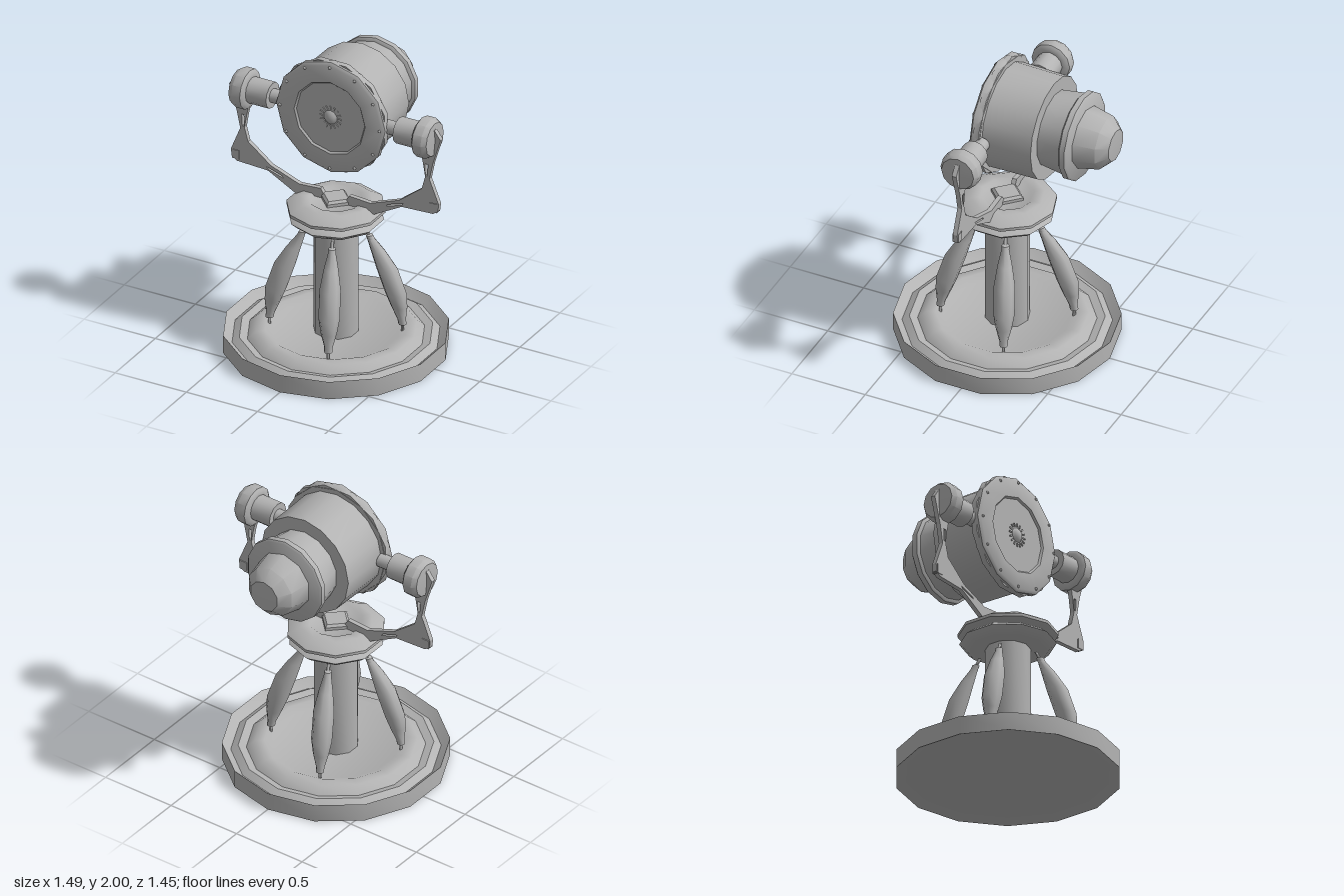
import * as THREE from 'three';
import { toCreasedNormals } from 'three/addons/utils/BufferGeometryUtils.js';

export function createModel() {
  const model = new THREE.Group();
  model.name = 'searchlight';
  const grey = new THREE.MeshStandardMaterial({ color: 0xb3b3b3 });
  grey.name = 'grey metal';

  // The vertical axis of the stand sits slightly forward
  const body = new THREE.Group();
  body.name = 'searchlightBody';
  body.position.z = 0.02;
  model.add(body);

  const add = (parent, name, geo) => {
    const mesh = new THREE.Mesh(geo, grey);
    mesh.name = name;
    parent.add(mesh);
    return mesh;
  };
  // Profile is [radius, height], from bottom to top
  const turned = (profile, sides, crease = 0.72) => toCreasedNormals(
    new THREE.LatheGeometry(profile.map(([r, y]) => new THREE.Vector2(r, y)), sides), crease);

  // Base dish with a raised ring
  add(body, 'base', turned([[0, 0.035], [0.62, 0.035], [0.7, 0], [0.7, 0.12], [0.645, 0.07],
    [0.6, 0.1], [0.55, 0.085], [0.5, 0.13], [0.44, 0.135], [0.39, 0.11], [0, 0.11]], 14));

  // Column and turntable
  add(body, 'column', turned([[0.14, 0.1], [0.14, 0.9]], 10));
  add(body, 'lowerCollar', turned([[0, 0.865], [0.22, 0.865], [0.26, 0.87], [0.3, 0.905],
    [0.25, 0.94], [0, 0.94]], 10));
  add(body, 'turntable', turned([[0, 0.935], [0.25, 0.935], [0.31, 0.955], [0.31, 0.975],
    [0.23, 1.02], [0.17, 1.02], [0.15, 1.005], [0, 1.005]], 10));
  add(body, 'turntableCap', turned([[0.11, 1.0], [0.11, 1.025], [0.09, 1.04], [0, 1.04]], 4));

  // Four bulging struts: [radius, height, distance from the axis]
  const strut = [[0, 0.11, 0.41], [0.01, 0.11, 0.41], [0.01, 0.17, 0.41], [0.026, 0.17, 0.41],
    [0.026, 0.2, 0.405], [0.05, 0.29, 0.39], [0.066, 0.38, 0.37], [0.066, 0.55, 0.315],
    [0.045, 0.67, 0.26], [0.024, 0.755, 0.215], [0.024, 0.78, 0.205], [0.011, 0.785, 0.2],
    [0.011, 0.825, 0.18], [0, 0.825, 0.18]];
  for (let i = 0; i < 4; i++) {
    const geo = new THREE.LatheGeometry(strut.map(([r, y]) => new THREE.Vector2(r, y)), 8);
    const pos = geo.attributes.position;
    // Shift each ring outwards so the strut leans and bows
    for (let v = 0; v < pos.count; v++) {
      pos.setZ(v, pos.getZ(v) + strut[v % strut.length][2]);
    }
    const mesh = add(body, 'strut', toCreasedNormals(geo, 0.9));
    mesh.rotation.y = Math.atan2(0.16, 0.38) + i * Math.PI / 2;
  }

  // Yoke arm outline with two slots
  const vec = (list) => list.map(([x, y]) => new THREE.Vector2(x, y));
  const outline = new THREE.Shape(vec([[0.05, 0.975], [0.25, 0.975], [0.47, 1.095], [0.69, 1.105],
    [0.725, 1.13], [0.73, 1.18], [0.665, 1.34], [0.69, 1.46], [0.743, 1.63], [0.7, 1.69],
    [0.6, 1.69], [0.585, 1.6], [0.62, 1.44], [0.635, 1.35], [0.61, 1.26], [0.45, 1.135],
    [0.25, 1.06], [0.1, 1.07], [0.07, 1.02]]));
  outline.holes.push(new THREE.Path(vec([[0.637, 1.36], [0.633, 1.44], [0.655, 1.44], [0.65, 1.36]])));
  outline.holes.push(new THREE.Path(vec([[0.36, 1.07], [0.37, 1.085], [0.48, 1.12], [0.47, 1.105]])));
  const armGeo = new THREE.ExtrudeGeometry(outline, { depth: 0.03, bevelEnabled: false });
  armGeo.translate(0, 0, -0.015);

  // Both arms with their pivot knobs
  for (const [name, turn] of [['left', 0], ['right', Math.PI]]) {
    const side = new THREE.Group();
    side.name = name + 'Yoke';
    side.rotation.y = turn;
    body.add(side);
    add(side, 'yokeArm', armGeo);
    const elbow = add(side, 'elbowBlock', new THREE.BoxGeometry(0.05, 0.06, 0.04));
    elbow.position.set(0.695, 1.15, 0);
    const pivot = turned([[0.045, 0.34], [0.045, 0.445], [0.085, 0.445], [0.085, 0.59],
      [0.11, 0.59], [0.13, 0.605], [0.13, 0.665], [0.11, 0.695], [0, 0.705]], 12);
    pivot.rotateZ(-Math.PI / 2);
    add(side, 'pivotKnob', pivot).position.y = 1.62;
  }

  // Lamp, turned along z
  const lamp = new THREE.Group();
  lamp.name = 'lamp';
  lamp.position.y = 1.62;
  body.add(lamp);
  const lampPart = (name, profile, sides, spin = 0) => {
    const geo = turned(profile, sides);
    geo.rotateY(spin);
    geo.rotateX(Math.PI / 2);
    return add(lamp, name, geo);
  };
  lampPart('frontRim', [[0.3, 0.01], [0.372, 0.01], [0.383, 0.03], [0.383, 0.065],
    [0.365, 0.08], [0.25, 0.08], [0.24, 0.068], [0, 0.068]], 12);
  lampPart('rimBand', [[0.3, 0.012], [0.383, 0.012], [0.383, 0.05], [0.3, 0.05]], 12, Math.PI / 12);
  lampPart('drum', [[0, -0.32], [0.333, -0.32], [0.338, 0.02], [0, 0.02]], 16);
  lampPart('rearDrum', [[0.245, -0.33], [0.245, -0.32]].concat([[0.245, -0.3]]), 14);
  lampPart('rearTaper', [[0, -0.49], [0.267, -0.48], [0.243, -0.31]], 14);
  lampPart('rearFlange', [[0, -0.535], [0.275, -0.535], [0.287, -0.525], [0.287, -0.49],
    [0.27, -0.478], [0, -0.478]], 14);
  lampPart('rearCap', [[0, -0.748], [0.105, -0.74], [0.17, -0.675], [0.2, -0.53]], 10);
  lampPart('centreKnob', [[0.03, 0.06], [0.048, 0.07], [0.035, 0.084], [0, 0.092]], 10);

  // Small details repeated around the front face
  const ring = (name, count, radius, z, geo) => {
    for (let i = 0; i < count; i++) {
      const a = i * Math.PI * 2 / count;
      const mesh = add(lamp, name, geo);
      mesh.position.set(Math.sin(a) * radius, Math.cos(a) * radius, z);
      mesh.rotation.z = -a;
    }
  };
  const bolt = new THREE.SphereGeometry(0.01, 6, 4);
  ring('rimBolt', 12, 0.35, 0.08, bolt);
  ring('ventFin', 16, 0.066, 0.07, new THREE.BoxGeometry(0.009, 0.022, 0.009));

  return model;
}
